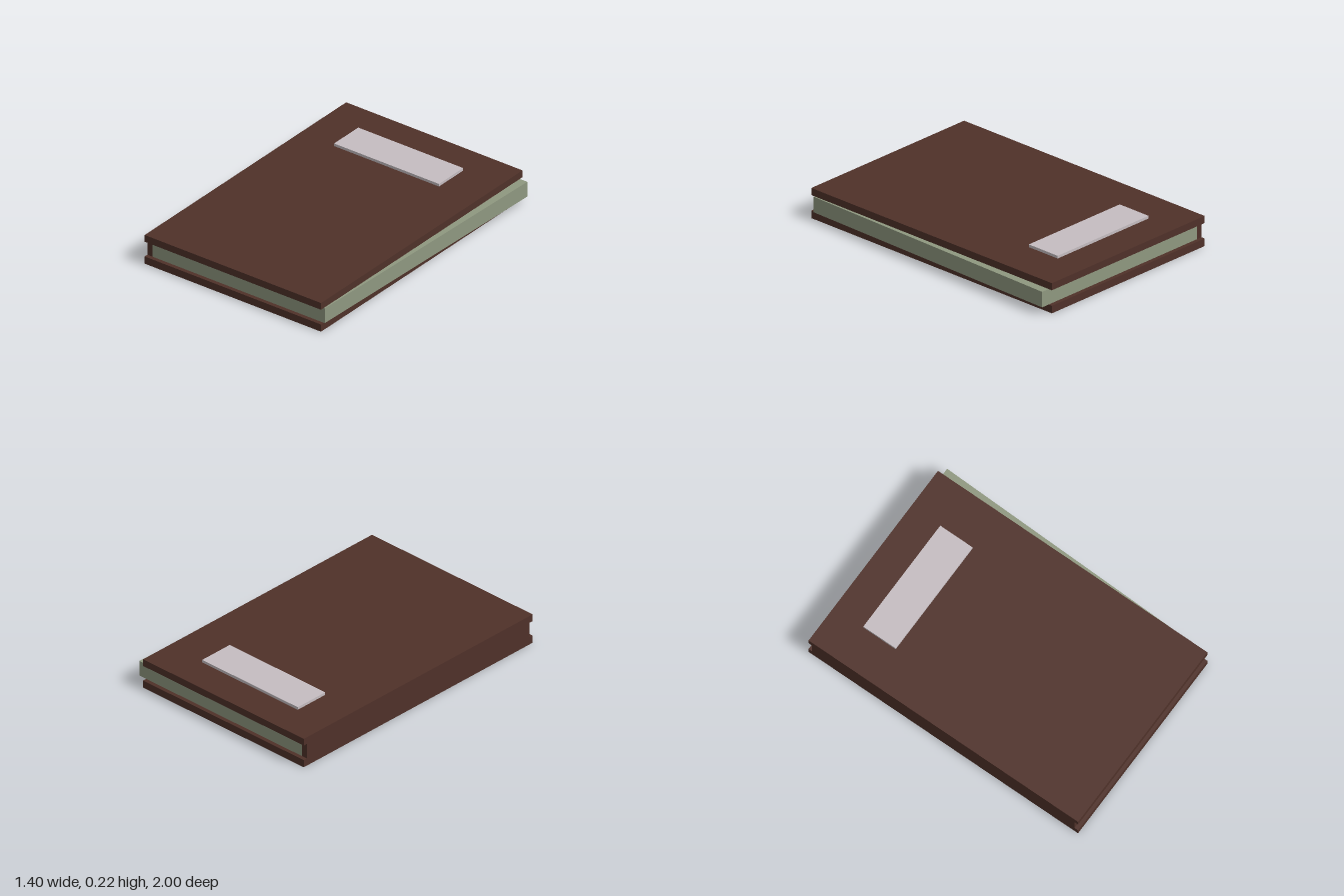
import * as THREE from 'three';

const mat = (color) => new THREE.MeshStandardMaterial({ color, flatShading: true });

export function createModel() {
  const book = new THREE.Group();
  book.name = 'book';
  const leather = mat(0x4f3129);

  // Box given by its min and max corners
  const block = (name, [x0, y0, z0], [x1, y1, z1], material) => {
    const mesh = new THREE.Mesh(new THREE.BoxGeometry(x1 - x0, y1 - y0, z1 - z0), material);
    mesh.position.set((x0 + x1) / 2, (y0 + y1) / 2, (z0 + z1) / 2);
    mesh.name = name;
    book.add(mesh);
  };

  // Covers and the slightly shorter spine between them
  block('backCover', [-0.7, 0, -1], [0.64, 0.05, 1], leather);
  block('frontCover', [-0.7, 0.153, -1], [0.64, 0.2, 1], leather);
  block('spine', [-0.7, 0.05, -0.973], [-0.66, 0.153, 0.973], leather);

  // Page block: its open edge slants outward towards the back
  const outline = new THREE.Shape([
    new THREE.Vector2(-0.66, -0.973),
    new THREE.Vector2(0.648, -0.973),
    new THREE.Vector2(0.697, 0.973),
    new THREE.Vector2(-0.66, 0.973),
  ]);
  const pageGeometry = new THREE.ExtrudeGeometry(outline, { depth: 0.103, bevelEnabled: false });
  pageGeometry.rotateX(-Math.PI / 2);
  const pages = new THREE.Mesh(pageGeometry, mat(0x8f9880));
  pages.position.y = 0.05;
  pages.name = 'pages';
  book.add(pages);

  // Raised title plate
  block('titlePlate', [-0.44, 0.2, -0.78], [0.357, 0.218, -0.54], mat(0xc5bdc1));

  return book;
}
